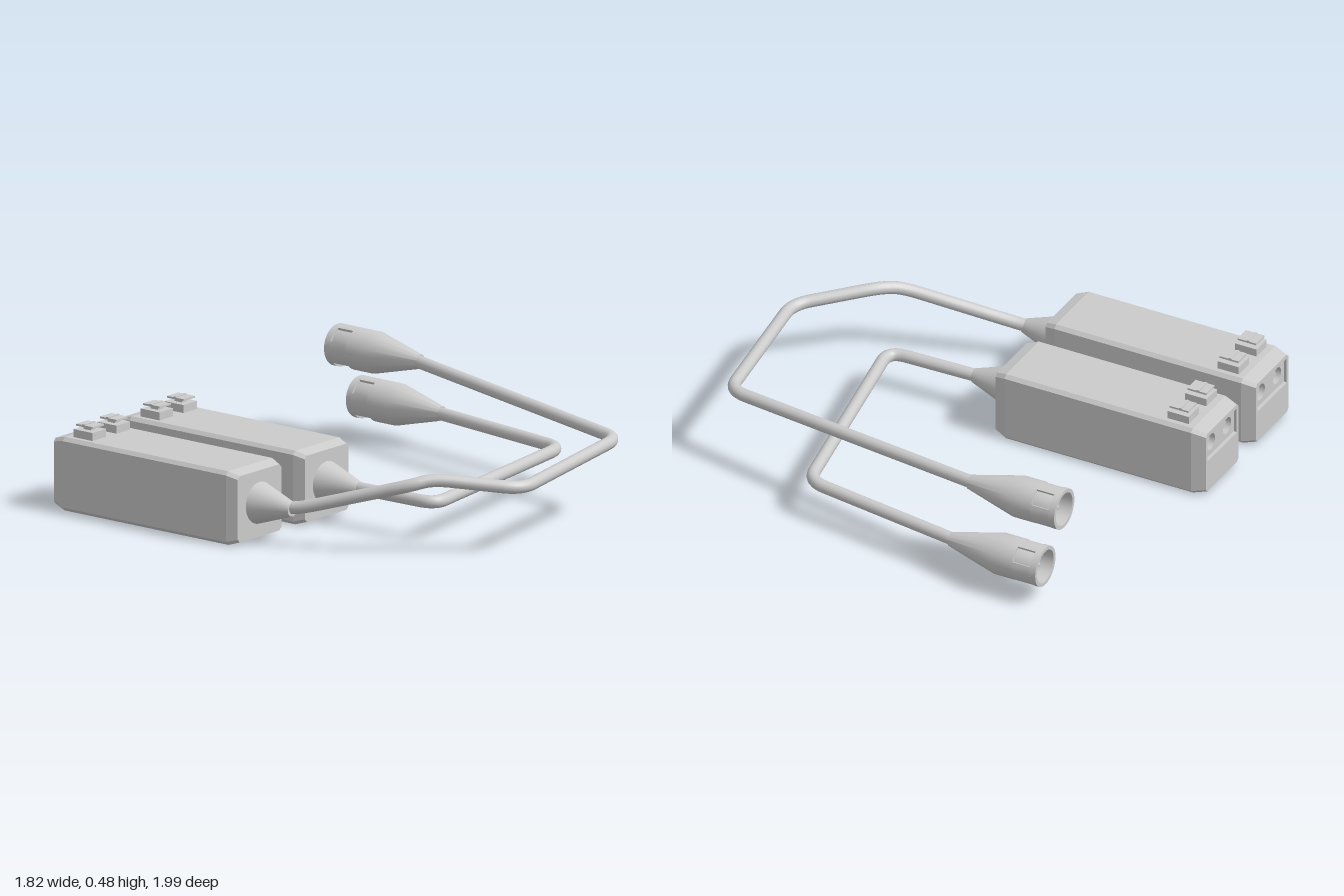
import * as THREE from 'three';
import { toCreasedNormals } from 'three/addons/utils/BufferGeometryUtils.js';

const grey = new THREE.MeshStandardMaterial({ color: 0xcccccc });
const thin = new THREE.MeshStandardMaterial({ color: 0xcccccc, side: THREE.DoubleSide });
const rad = THREE.MathUtils.degToRad;
const V = (x, y, z) => new THREE.Vector3(x, y, z);

function add(parent, name, geometry, material = grey, x = 0, y = 0, z = 0) {
  const mesh = new THREE.Mesh(geometry, material);
  mesh.name = name;
  mesh.position.set(x, y, z);
  parent.add(mesh);
  return mesh;
}

// Square with cut corners, half-size h
function octagon(h, c) {
  return new THREE.Shape([
    [h - c, -h], [h, -h + c], [h, h - c], [h - c, h],
    [-h + c, h], [-h, h - c], [-h, -h + c], [-h + c, -h],
  ].map(([x, y]) => new THREE.Vector2(x, y)));
}

function rect(x0, x1, y0, y1, Type) {
  return new Type([[x0, y0], [x1, y0], [x1, y1], [x0, y1]].map(([x, y]) => new THREE.Vector2(x, y)));
}

// Extrusion from z0 to z1 whose outline is scaled s0 at z0 and s1 at z1
function taper(shape, z0, z1, s0 = 1, s1 = 1) {
  const g = new THREE.ExtrudeGeometry(shape, { depth: z1 - z0, bevelEnabled: false, curveSegments: 20 });
  const p = g.attributes.position;
  for (let i = 0; i < p.count; i++) {
    const s = p.getZ(i) > (z1 - z0) / 2 ? s1 : s0;
    p.setXYZ(i, p.getX(i) * s, p.getY(i) * s, p.getZ(i) + z0);
  }
  g.computeVertexNormals();
  return g;
}

// Housing with terminal recess at the back, push levers on top and strain relief at the front
function housing(name) {
  const g = new THREE.Group();
  g.name = name;
  const half = 0.156, cut = 0.015, inset = 0.9;
  add(g, 'housingFront', taper(octagon(half, cut), -0.07, -0.02, 1, inset));
  add(g, 'housingMiddle', taper(octagon(half, cut), -0.94, -0.07));
  const rear = octagon(half, cut);
  rear.holes.push(rect(-0.14, 0.14, 0.005, 0.135, THREE.Path));
  add(g, 'housingRear', taper(rear, -1, -0.94, inset, 1));

  const panel = rect(-0.135, 0.135, 0.002, 0.13, THREE.Shape);
  for (const s of [-1, 1]) {
    panel.holes.push(new THREE.Path().absarc(s * 0.07, 0.065, 0.036, 0, Math.PI * 2, true));
    const screw = new THREE.CylinderGeometry(0.016, 0.016, 0.03, 16).rotateX(Math.PI / 2);
    add(g, 'terminalScrew', screw, grey, s * 0.07, 0.065, -0.955);

    const lever = new THREE.Group();
    lever.name = 'pushLever';
    lever.position.set(s * 0.077, half, -0.86);
    add(lever, 'leverBase', new THREE.BoxGeometry(0.088, 0.036, 0.1), grey, 0, 0.016, 0);
    add(lever, 'leverStem', new THREE.BoxGeometry(0.032, 0.02, 0.04), grey, 0, 0.04, 0);
    add(lever, 'leverCap', new THREE.BoxGeometry(0.072, 0.008, 0.088), grey, 0, 0.052, 0);
    add(lever, 'leverRidge', new THREE.BoxGeometry(0.072, 0.005, 0.012), grey, 0, 0.057, -0.005);
    g.add(lever);
  }
  add(g, 'terminalPanel', taper(panel, -0.985, -0.94));
  add(g, 'strainRelief', new THREE.CylinderGeometry(0.03, 0.09, 0.18, 32).rotateX(Math.PI / 2), grey, 0, 0.003, 0.065);
  return g;
}

// Revolved profile of [radius, distance] whose axis points to -z
function turned(profile, from = 0, to = 360) {
  const pts = profile.map(([r, d]) => new THREE.Vector2(r, d));
  const n = Math.max(6, Math.round((to - from) / 9));
  const g = new THREE.LatheGeometry(pts, n, rad(from), rad(to - from));
  return toCreasedNormals(g.rotateX(-Math.PI / 2), 0.5);
}

// Plug: cone, barrel with three recessed windows, hollow mouth and centre pin
function plug(name) {
  const g = new THREE.Group();
  g.name = name;
  const R = 0.088, r = 0.077;
  add(g, 'plugCone', turned([[0, 0], [0.03, 0], [R, 0.23], [R, 0.33], [r, 0.33]]), thin);
  add(g, 'plugRim', turned([[r, 0.412], [R, 0.412], [R, 0.44], [0.072, 0.44]]), thin);
  for (const [a, b] of [[-22, 22], [68, 135], [225, 292]]) {
    add(g, 'barrelRib', turned([[r, 0.33], [R, 0.33], [R, 0.412], [r, 0.412]], a, b), thin);
    for (const e of [a, b]) {
      // window side wall
      const wall = new THREE.PlaneGeometry(R - r, 0.082).rotateX(-Math.PI / 2)
        .translate((R + r) / 2, 0, -0.371).rotateZ(rad(90 - e));
      add(g, 'windowWall', wall, thin);
    }
  }
  add(g, 'innerSleeve', turned([[r, 0.32], [r, 0.42], [0.072, 0.44], [0.068, 0.25], [0, 0.25]]), thin);
  add(g, 'centrePin', turned([[0.035, 0.25], [0.03, 0.32], [0.012, 0.34], [0.01, 0.41], [0, 0.415]]), thin);
  return g;
}

// Cable through corner points, each corner rounded
function cable(points, round = 0.08) {
  const path = new THREE.CurvePath();
  let last = points[0];
  for (let i = 1; i < points.length - 1; i++) {
    const p = points[i];
    const toward = (q) => p.clone().add(q.clone().sub(p).setLength(Math.min(round, p.distanceTo(q) * 0.45)));
    const a = toward(points[i - 1]), b = toward(points[i + 1]);
    path.add(new THREE.LineCurve3(last, a));
    path.add(new THREE.QuadraticBezierCurve3(a, p, b));
    last = b;
  }
  path.add(new THREE.LineCurve3(last, points[points.length - 1]));
  path.arcLengthDivisions = 600;
  return new THREE.TubeGeometry(path, 160, 0.027, 16, false);
}

export function createModel() {
  const model = new THREE.Group();
  model.name = 'videoAdapterPair';

  const right = housing('rightHousing');
  right.position.set(-0.757, 0.158, 0);
  const left = housing('leftHousing');
  left.position.set(-0.326, 0.158, 0);

  const upper = plug('upperPlug');
  upper.position.set(0.722, 0.397, -0.39);
  const lower = plug('lowerPlug');
  lower.position.set(0.82, 0.163, -0.355);
  model.add(right, left, upper, lower);

  add(model, 'upperCable', cable([
    V(-0.757, 0.163, 0.12), V(-0.745, 0.172, 0.19), V(-0.575, 0.305, 0.63), V(-0.5, 0.327, 0.69),
    V(-0.27, 0.288, 0.975), V(0.48, 0.33, 0.86), V(0.722, 0.397, -0.41),
  ]), thin);
  add(model, 'lowerCable', cable([
    V(-0.326, 0.163, 0.12), V(-0.315, 0.163, 0.55), V(0.705, 0.163, 0.37), V(0.82, 0.163, -0.38),
  ]), thin);

  return model;
}
